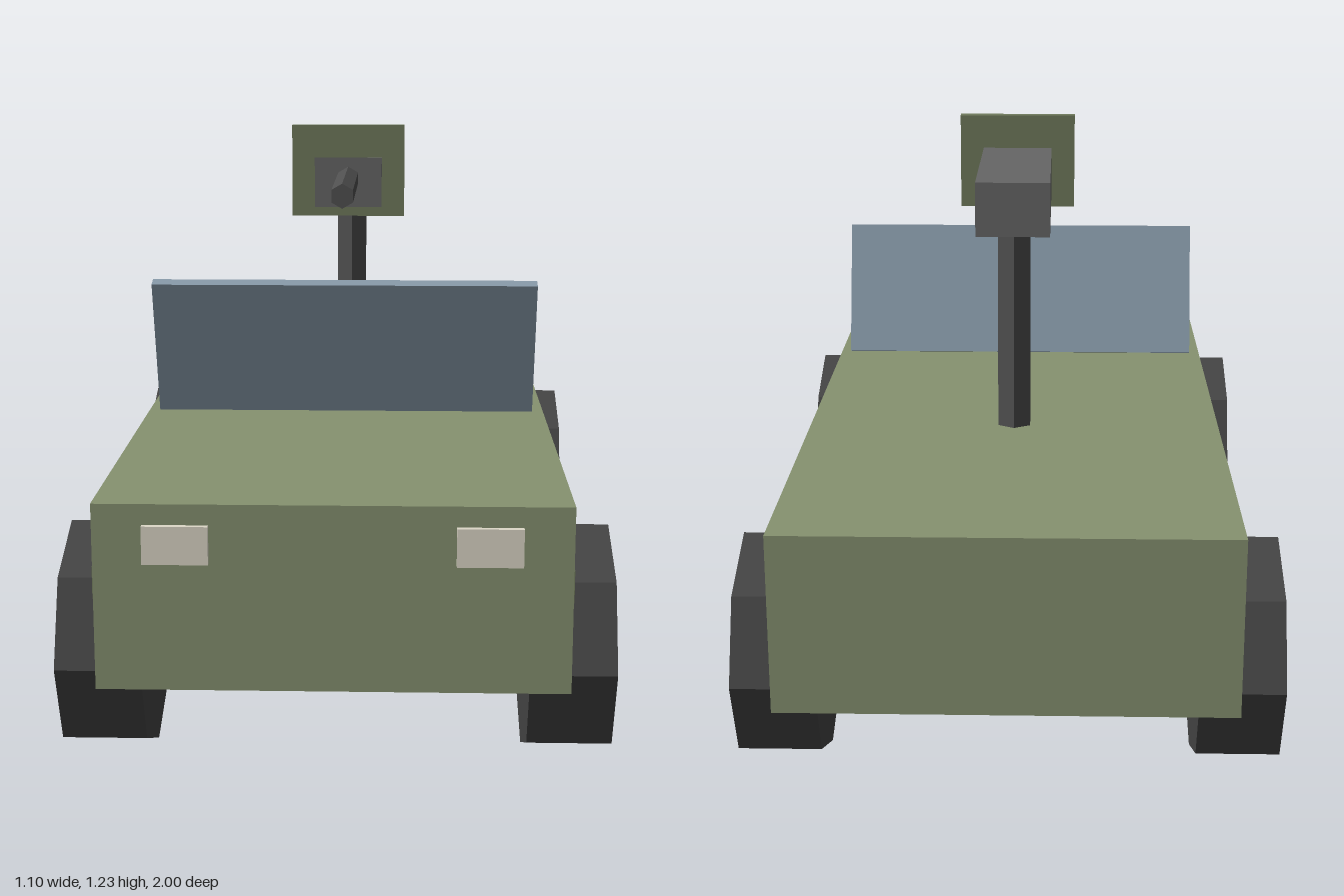
import * as THREE from 'three';

const mat = (color) => new THREE.MeshStandardMaterial({ color, flatShading: true });

export function createModel() {
  const model = new THREE.Group();
  const olive = mat(0x869270), darkOlive = mat(0x6c7658), shieldGreen = mat(0x707a5c);
  const rubber = mat(0x444444), hubGrey = mat(0xb0b0b0), metal = mat(0x666666);
  const steel = mat(0x505050), lamp = mat(0xddd8c8), glass = mat(0x8799a8);

  const add = (name, geometry, material, x, y, z) => {
    const mesh = new THREE.Mesh(geometry, material);
    mesh.name = name;
    mesh.position.set(x, y, z);
    model.add(mesh);
    return mesh;
  };
  const box = (name, material, w, h, d, x, y, z) =>
    add(name, new THREE.BoxGeometry(w, h, d), material, x, y, z);
  const cylinder = (r, length, sides) => new THREE.CylinderGeometry(r, r, length, sides);

  // Body with a dark band wrapped round the nose
  box('body', olive, 0.89, 0.36, 1.988, 0, 0.42, -0.006);
  box('noseBand', darkOlive, 0.893, 0.063, 0.31, 0, 0.447, 0.8295);

  // Windscreen leaning forward
  const screen = box('windscreen', glass, 0.836, 0.313, 0.027, 0, 0.76, 0.254);
  screen.rotation.x = 0.31;

  // Headlights and wheels, mirrored
  for (const [side, s] of [['left', 1], ['right', -1]]) {
    box(side + 'Headlight', lamp, 0.123, 0.073, 0.03, s * 0.29, 0.524, 0.985);
    for (const [end, z] of [['Front', 0.65], ['Rear', -0.66]]) {
      add(side + end + 'Wheel', cylinder(0.235, 0.168, 8).rotateZ(Math.PI / 2), rubber, s * 0.46, 0.236, z);
      add(side + end + 'Hub', cylinder(0.118, 0.178, 6).rotateZ(Math.PI / 2), hubGrey, s * 0.46, 0.236, z);
    }
  }

  // Mounted gun: post, receiver, shield and barrel
  add('gunPost', cylinder(0.04, 0.46, 6), steel, 0, 0.825, -0.32);
  box('gunReceiver', metal, 0.154, 0.113, 0.468, 0, 1.1, -0.216);
  box('gunShield', shieldGreen, 0.258, 0.208, 0.026, 0, 1.126, -0.005);
  add('gunBarrel', cylinder(0.026, 0.44, 6).rotateX(Math.PI / 2), steel, 0, 1.11, 0.217);

  return model;
}
